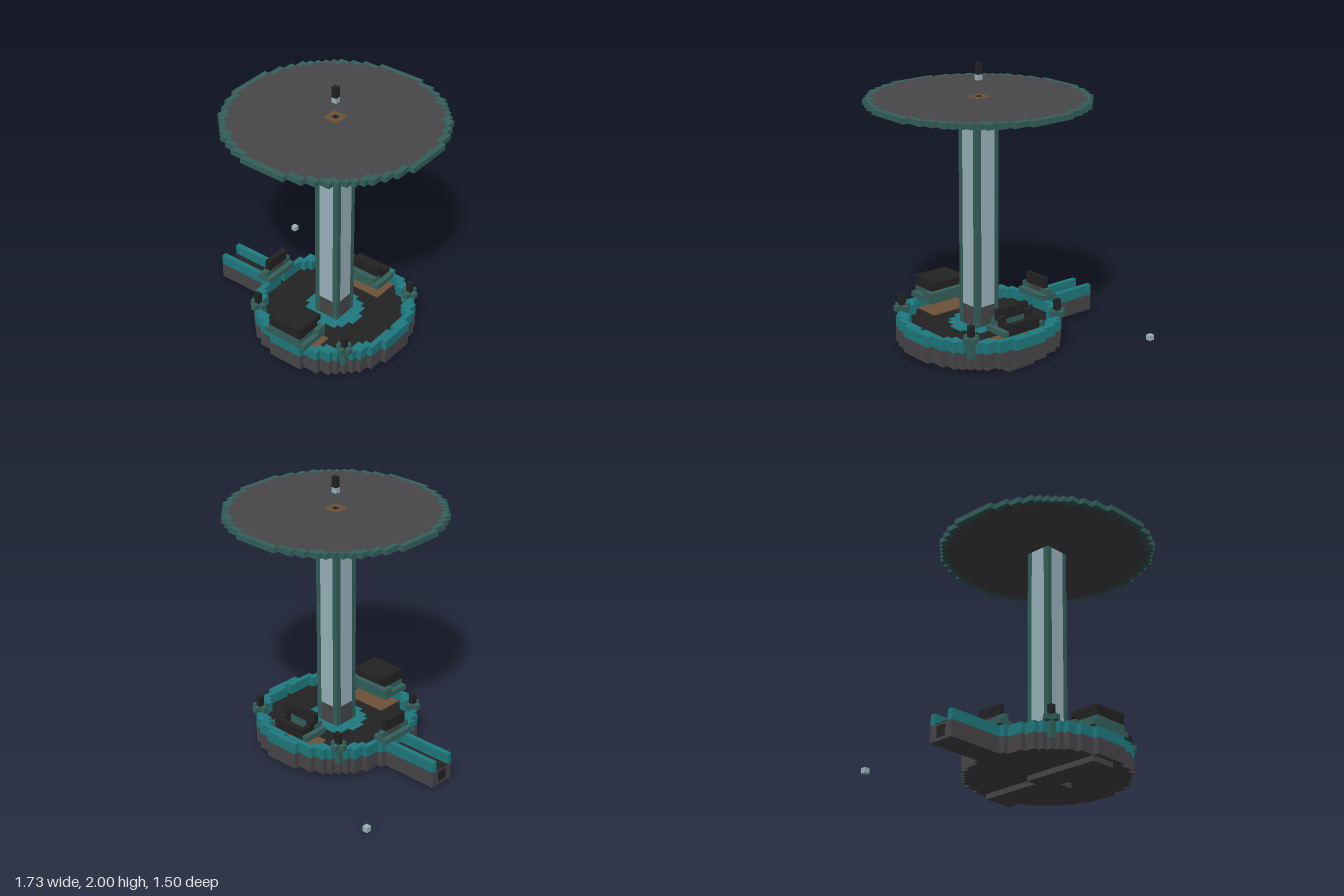
import * as THREE from 'three';

const V = 1 / 26;        // one block
const CX = 3 / 26;       // x of the tower axis

const mat = (name, color) => {
  const m = new THREE.MeshStandardMaterial({ color });
  m.name = name;
  return m;
};

export function createModel() {
  const gray = mat('dark gray', 0x484649);
  const teal = mat('bright teal', 0x1f7b80);
  const green = mat('dark teal', 0x34615d);
  const pale = mat('pale blue', 0x9db6c0);
  const black = mat('black', 0x232323);
  const brown = mat('brown', 0x6f5238);

  const model = new THREE.Group();
  model.name = 'tower';

  // Box covering block columns u0..u1, k0..k1 (inclusive) and heights y0..y1
  function block(name, m, u0, u1, y0, y1, k0, k1) {
    const g = new THREE.BoxGeometry((u1 - u0 + 1) * V, (y1 - y0) * V, (k1 - k0 + 1) * V);
    const mesh = new THREE.Mesh(g, m);
    mesh.name = name;
    mesh.position.set(CX + (u0 + u1) / 2 * V, (y0 + y1) / 2 * V, (k0 + k1) / 2 * V);
    model.add(mesh);
    return mesh;
  }

  // Stepped circle outline made of whole blocks
  function steppedCircle(r) {
    const n = Math.floor(r);
    const half = k => Math.floor(Math.sqrt(r * r - k * k)) + 0.5;
    const pts = [];
    for (let k = -n; k <= n; k++) {
      pts.push(new THREE.Vector2(half(k) * V, (k - 0.5) * V));
      pts.push(new THREE.Vector2(half(k) * V, (k + 0.5) * V));
    }
    for (let k = n; k >= -n; k--) {
      pts.push(new THREE.Vector2(-half(k) * V, (k + 0.5) * V));
      pts.push(new THREE.Vector2(-half(k) * V, (k - 0.5) * V));
    }
    return pts.filter((p, i) => !p.equals(pts[(i + 1) % pts.length]));
  }

  // Flat stepped disc, or ring when an inner radius is given
  function disc(name, m, r, y0, y1, inner) {
    const shape = new THREE.Shape(steppedCircle(r));
    if (inner) shape.holes.push(new THREE.Path(steppedCircle(inner)));
    const g = new THREE.ExtrudeGeometry(shape, { depth: (y1 - y0) * V, bevelEnabled: false });
    g.rotateX(-Math.PI / 2);
    const mesh = new THREE.Mesh(g, m);
    mesh.name = name;
    mesh.position.set(CX, y0 * V, 0);
    model.add(mesh);
  }

  // Round base with a sunken floor
  disc('baseHull', gray, 14.5, 1, 4);
  disc('baseWall', teal, 14.5, 4, 6, 13);
  disc('baseFloor', black, 13, 4, 4.1);
  disc('floorRing', teal, 5.2, 4.1, 4.25);
  block('keelFront', gray, -3, 1, 0, 1, -1, 13);
  block('keelBack', gray, -1, 4, 0, 1, -13, 1);
  for (const s of [-1, 1]) {
    block('floorPatch', brown, -4, 4, 4.05, 4.3, Math.min(s * 8, s * 12), Math.max(s * 8, s * 12));
  }

  // Side arm with a channel between two rails
  block('armHull', gray, -25, -14, 1, 4, -2, 2);
  block('armChannel', black, -25, -15, 4, 4.1, -1, 1);
  for (const k of [-2, 2]) block('armRail', teal, -25, -14, 4, 6, k, k);
  const port = block('armPort', black, 0, 0, 1.6, 3.6, -0.5, 0.5);
  port.scale.x = 0.1;
  port.position.x = CX - 25.5 * V;

  // Gate over the arm entrance
  block('gateSill', green, -15, -13, 6, 7, -3, 3);
  block('gateSupport', gray, -14, -14, 7, 8, -1, 1);
  for (const k of [-2.5, 2.5]) block('gateFoot', green, -14, -14, 7, 8, k - 0.5, k + 0.5);
  block('gateBar', black, -14, -14, 8, 10, -2, 2);

  // Four corner posts on the rim
  for (const u of [-10, 10]) {
    for (const k of [-10, 10]) {
      block('postColumn', green, u - 0.05, u + 0.05, 3, 7, k - 0.05, k + 0.05);
      block('postArmX', green, u - 1, u + 1, 6, 7, k, k);
      block('postArmZ', green, u, u, 6, 7, k - 1, k + 1);
      block('postCap', black, u, u, 7, 9, k, k);
    }
  }

  // Front console
  block('consoleBase', green, -4, 4, 6, 7, 11, 14);
  block('consoleNeck', green, -3, 3, 7, 8, 11, 14);
  block('consoleLip', green, -4, 4, 6, 8, 9, 10);
  block('consoleBody', black, -3, 3, 8, 9, 10, 14);
  block('consoleTop', black, -3, 3, 9, 10, 9, 14);

  // Back console, an open frame stepping down outward
  for (const u of [-4, 4]) block('backConsoleFoot', green, u, u, 6, 7, -12, -8);
  block('backConsoleLip', green, -3, 3, 6, 8, -9, -8);
  block('backConsoleTop', black, -3, 3, 8, 10, -9, -9);
  for (const u of [-3, 3]) {
    block('backConsoleStep', black, u, u, 6, 9, -10, -10);
    block('backConsoleSide', black, u, u, 6, 8, -11, -11);
  }
  block('backConsoleEdge', black, -3, 3, 6, 8, -12, -12);

  // Pillar: pale panels between dark teal corners, gray foot panels
  block('pillarPanelsX', pale, -2, 2, 8, 45, -1, 1);
  block('pillarPanelsZ', pale, -1, 1, 8, 45, -2, 2);
  block('pillarFootX', gray, -2, 2, 4, 8, -1, 1);
  block('pillarFootZ', gray, -1, 1, 4, 8, -2, 2);
  for (const u of [-2, 2]) {
    for (const k of [-2, 2]) block('pillarCorner', green, u, u, 4, 45, k, k);
  }

  // Roof disc with hub
  disc('roofRim', green, 19.5, 45, 46, 18.5);
  disc('roofPlate', gray, 18.5, 45, 46);
  block('roofHub', brown, -1, 1, 45.9, 46.1, -1, 1);
  block('roofHubHole', black, 0, 0, 46, 46.15, 0, 0);

  // Beacon above the roof and a loose marker block
  block('beaconGlow', pale, 0, 0, 49, 50, 0, 0);
  block('beaconCap', black, 0, 0, 50, 52, 0, 0);
  block('marker', pale, -25, -25, 0, 1, -19, -19);

  return model;
}
